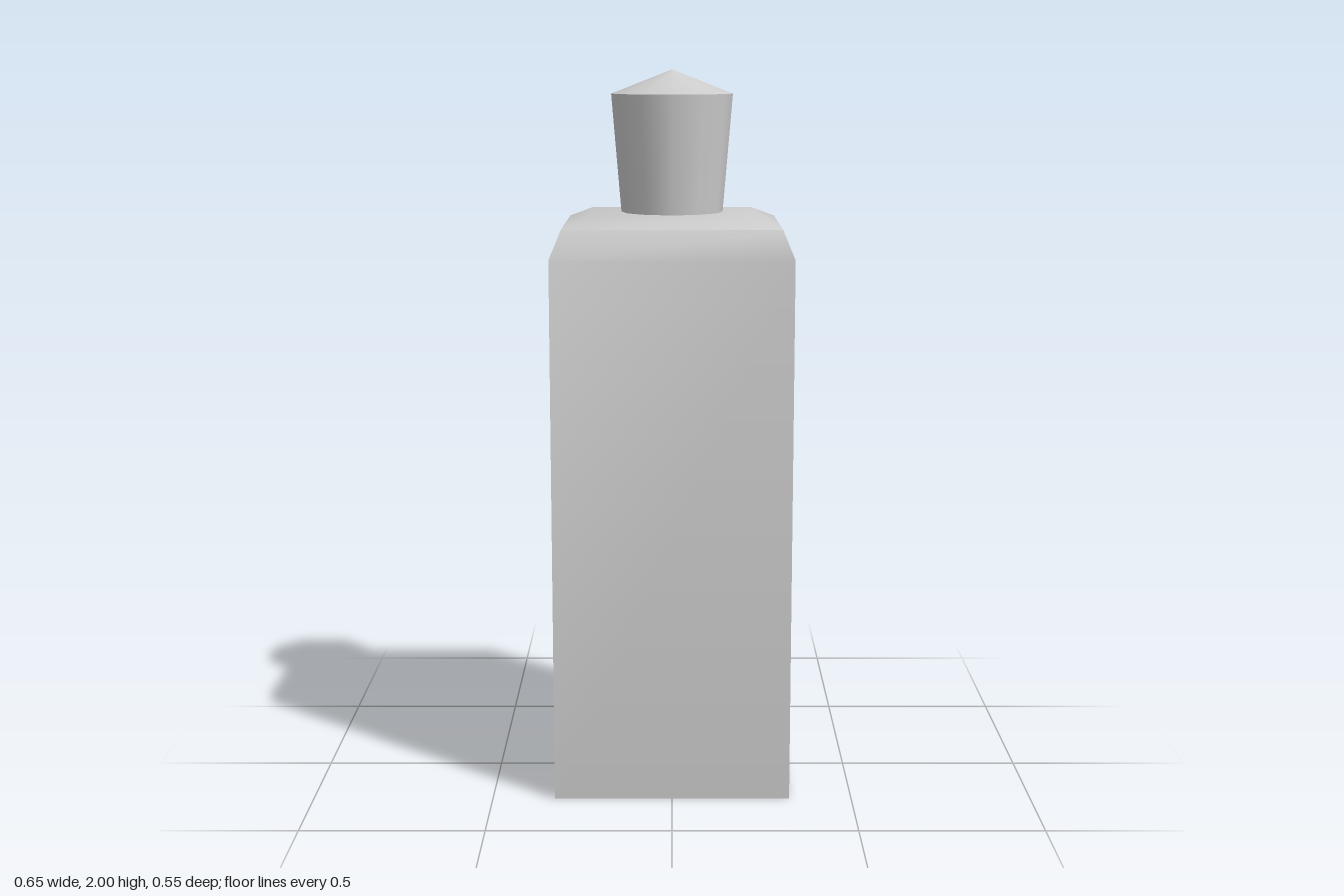
import * as THREE from 'three';
import { toCreasedNormals } from 'three/addons/utils/BufferGeometryUtils.js';

const material = new THREE.MeshStandardMaterial({ color: 0xcccccc });

function addMesh(parent, name, geometry, y = 0) {
  const mesh = new THREE.Mesh(geometry, material);
  mesh.name = name;
  mesh.position.y = y;
  parent.add(mesh);
}

// Closed solid from stacked rectangles [half width, height, half depth]
function rectangleLoft(sections) {
  const corners = [[1, 1], [1, -1], [-1, -1], [-1, 1]];
  const positions = [];
  const index = [];
  for (const [w, y, d] of sections) {
    for (const [sx, sz] of corners) positions.push(sx * w, y, sz * d);
  }
  for (let i = 0; i < sections.length - 1; i++) {
    for (let j = 0; j < 4; j++) {
      const a = i * 4 + j;
      const b = i * 4 + (j + 1) % 4;
      index.push(a, b, b + 4, a, b + 4, a + 4);
    }
  }
  const t = (sections.length - 1) * 4;
  index.push(0, 2, 1, 0, 3, 2, t, t + 1, t + 2, t, t + 2, t + 3);
  const geometry = new THREE.BufferGeometry();
  geometry.setAttribute('position', new THREE.Float32BufferAttribute(positions, 3));
  geometry.setIndex(index);
  return toCreasedNormals(geometry, THREE.MathUtils.degToRad(40));
}

export function createModel() {
  const model = new THREE.Group();
  model.name = 'bottle';

  // Tall rectangular body with bevelled shoulders
  addMesh(model, 'body', rectangleLoft([
    [0.327, 0, 0.273],
    [0.327, 1.505, 0.273],
    [0.295, 1.583, 0.241],
    [0.225, 1.613, 0.171],
  ]));

  // Flared twelve-sided stopper with a shallow pointed top
  const stopper = new THREE.Group();
  stopper.name = 'stopper';
  model.add(stopper);
  const base = 1.61, rim = 1.935, tip = 2;
  addMesh(stopper, 'stopperSide',
    new THREE.CylinderGeometry(0.167, 0.14, rim - base, 12, 1, true), (base + rim) / 2);
  addMesh(stopper, 'stopperTop',
    new THREE.ConeGeometry(0.167, tip - rim, 12, 1, true), (rim + tip) / 2);

  return model;
}
